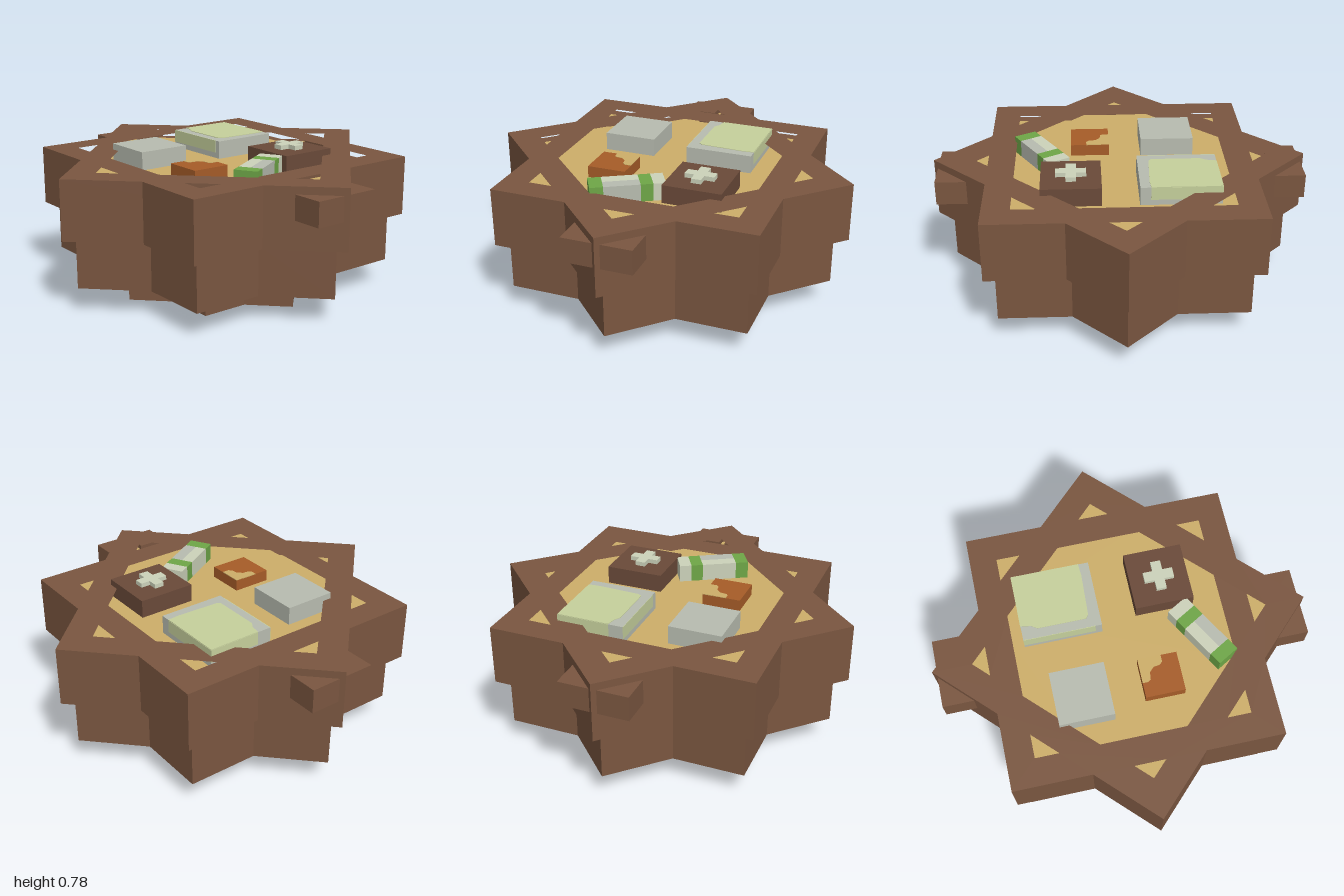
import * as THREE from 'three';

const mat = (name, color) => {
  const m = new THREE.MeshStandardMaterial({ color });
  m.name = name;
  return m;
};

export function createModel() {
  const group = new THREE.Group();
  const wood = mat('wood brown', 0x7a5640);
  const darkWood = mat('dark wood', 0x6a4a39);
  const sand = mat('sand', 0xcdae69);
  const grey = mat('stone grey', 0xb8bcb0);
  const paleGreen = mat('pale green', 0xc6d09c);
  const cream = mat('cream', 0xccd2ba);
  const green = mat('leaf green', 0x6ea647);
  const rust = mat('rust orange', 0xa65c28);

  const FLOOR = 0.655, RIM = 0.72;

  const add = (name, geo, material, parent = group) => {
    const mesh = new THREE.Mesh(geo, material);
    mesh.name = name;
    parent.add(mesh);
    return mesh;
  };
  // Box given by its limits on each axis
  const box = (name, material, x0, x1, y0, y1, z0, z1, parent) => {
    const mesh = add(name, new THREE.BoxGeometry(x1 - x0, y1 - y0, z1 - z0), material, parent);
    mesh.position.set((x0 + x1) / 2, (y0 + y1) / 2, (z0 + z1) / 2);
    return mesh;
  };
  const points = list => list.map(([x, z]) => new THREE.Vector2(x, -z));
  // Upright prism from an outline in x and z
  const prism = (name, material, shape, y0, y1) => {
    const geo = new THREE.ExtrudeGeometry(shape, { depth: y1 - y0, bevelEnabled: false, curveSegments: 8 });
    geo.rotateX(-Math.PI / 2).translate(0, y0, 0);
    return add(name, geo, material);
  };
  const turn = ([x, z], i) => {
    const a = i * Math.PI / 2, c = Math.round(Math.cos(a)), s = Math.round(Math.sin(a));
    return [x * c - z * s, x * s + z * c];
  };
  // Eight-pointed star made of two crossed squares
  const star = r => {
    const k = r * Math.SQRT1_2, n = r - k, list = [];
    for (let i = 0; i < 4; i++) {
      for (const p of [[r, 0], [k, n], [k, k], [n, k]]) list.push(turn(p, i));
    }
    return new THREE.Shape(points(list));
  };

  // Stepped star body
  prism('foot', wood, star(0.613), 0, 0.135);
  prism('middleTier', wood, star(0.92), 0.135, 0.4);
  prism('upperTier', wood, star(1), 0.4, FLOOR - 0.004);

  // Rim of two crossed square frames, open in the middle and at the points
  const rim = star(1);
  const a = 0.563, b = 0.79 - a, octagon = [];
  for (let i = 0; i < 4; i++) {
    octagon.push(turn([a, -b], i), turn([a, b], i));
    const tip = [[0.79, 0], [0.708, 0.082], [0.708, -0.082]];
    const corner = [[a, a], [1 - a, a], [a, 1 - a]];
    for (const tri of [tip, corner]) {
      rim.holes.push(new THREE.Path(points(tri.map(p => turn(p, i)))));
    }
  }
  rim.holes.push(new THREE.Path(points(octagon)));
  prism('rim', wood, rim, FLOOR - 0.004, RIM);
  prism('sandFloor', sand, star(0.9), FLOOR - 0.006, FLOOR);

  // Side blocks flanking the left and right points
  for (const sx of [-1, 1]) for (const sz of [-1, 1]) {
    const block = box('sideBlock', wood, 0.815, 0.98, 0.55, 0.68, 0.018, 0.185);
    block.position.x *= sx;
    block.position.z *= sz;
  }

  // Large chest with pale green panels
  box('largeChest', grey, -0.505, -0.085, FLOOR, 0.754, -0.427, -0.06);
  const panel = new THREE.Shape(points([[-0.505, -0.427], [-0.14, -0.427], [-0.135, -0.36],
    [-0.145, -0.13], [-0.16, -0.11], [-0.42, -0.11], [-0.45, -0.13], [-0.505, -0.14]]));
  prism('chestTopPanel', paleGreen, panel, 0.753, 0.757);
  box('chestFrontPanel', paleGreen, -0.505, -0.12, 0.685, 0.754, -0.062, -0.058);
  box('chestBackPanel', paleGreen, -0.505, -0.14, 0.685, 0.754, -0.429, -0.425);
  box('chestRightPanel', paleGreen, -0.507, -0.503, 0.685, 0.754, -0.427, -0.14);

  // Small plain chest
  box('smallChest', grey, -0.41, -0.12, FLOOR, 0.754, 0.145, 0.432);

  // Wooden crate with a raised cross
  box('crate', darkWood, 0.108, 0.422, FLOOR, 0.754, -0.427, -0.11);
  const w = 0.027, l = 0.08, cross = [];
  for (let i = 0; i < 4; i++) {
    for (const p of [[l, -w], [l, w], [w, w]]) cross.push(turn(p, i));
  }
  prism('crateCross', cream, new THREE.Shape(points(cross)), 0.75, 0.778).position.set(0.265, 0, -0.266);

  // Rust block with a sandy patch on its corner
  box('rustBlock', rust, 0.055, 0.265, FLOOR, 0.718, 0.158, 0.37);
  const patch = new THREE.Shape(points([[0.055, 0.158], [0.18, 0.158], [0.18, 0.195], [0.165, 0.21],
    [0.13, 0.215], [0.105, 0.24], [0.1, 0.28], [0.085, 0.29], [0.055, 0.29]]));
  prism('sandyPatch', sand, patch, 0.716, 0.72);

  // Banded bundle lying at an angle
  const bundle = new THREE.Group();
  bundle.name = 'bundle';
  bundle.position.set(0.423, 0, 0.08);
  bundle.rotation.y = Math.PI / 6;
  group.add(bundle);
  const h = 0.063;
  const segments = [['bundleEnd', cream, -0.195, -0.13], ['bundleBand', green, -0.13, -0.065],
    ['bundleBand', green, 0.125, 0.195]];
  for (const [name, m, z0, z1] of segments) box(name, m, -h, h, FLOOR, 0.75, z0, z1, bundle);
  box('bundleLightHalf', cream, -h, 0, FLOOR, 0.75, -0.065, 0.125, bundle);
  box('bundleGreyHalf', grey, 0, h, FLOOR, 0.75, -0.065, 0.125, bundle);

  return group;
}
